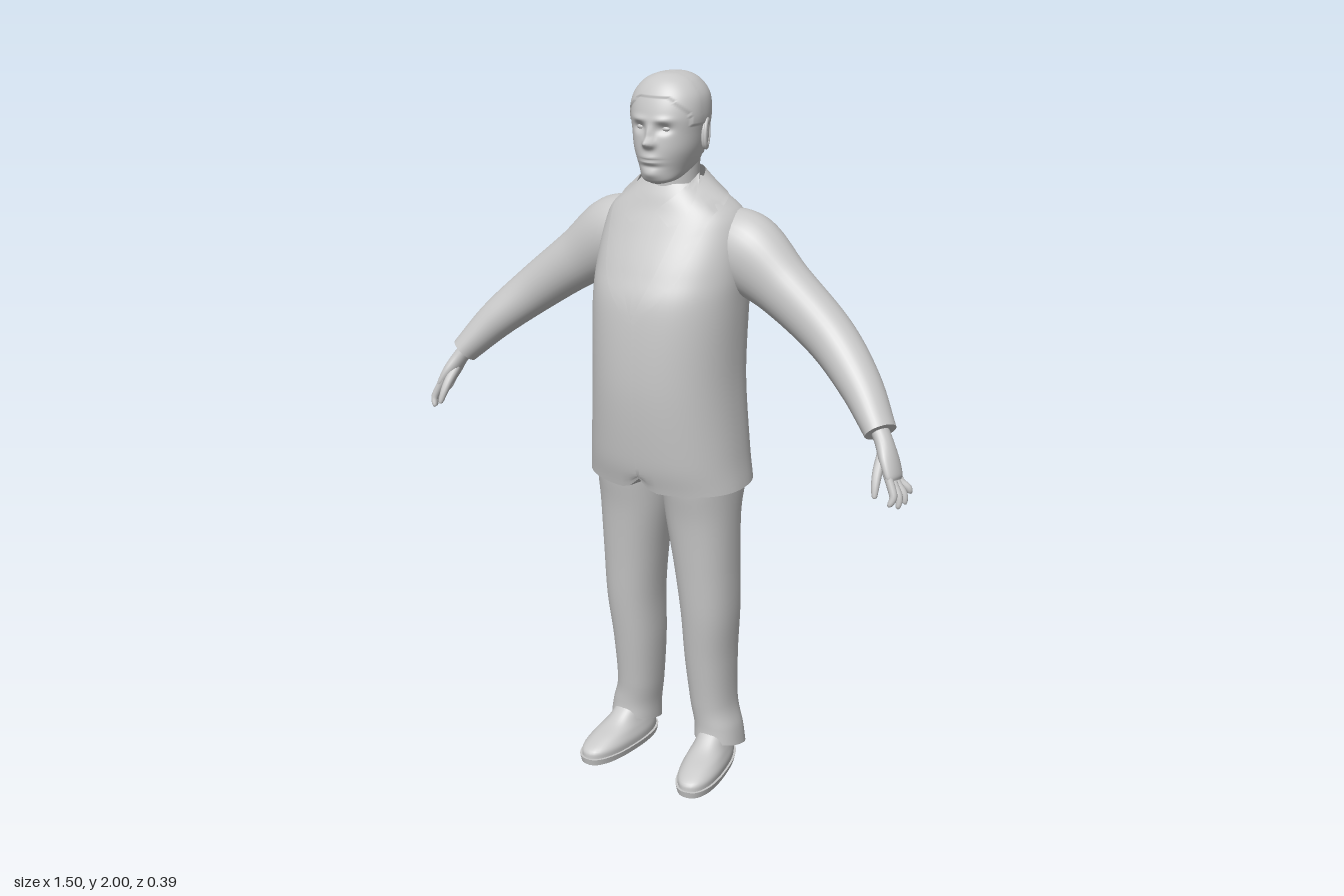
import * as THREE from 'three';

const V = (x, y, z) => new THREE.Vector3(x, y, z);
const grey = new THREE.MeshStandardMaterial({ color: 0xc8c8c8, side: THREE.DoubleSide });
grey.name = 'plainGrey';
const UP = V(0, 1, 0);

// Smooth tube through sections [x, y, z, sideRadius, frontRadius, backRadius], with closed ends.
// With an axis every section lies square to it, otherwise square to the path.
function loft(rows, { axis = null, steps = 40, sides = 32, power = 2, rule = null } = {}) {
  const curve = (f) => new THREE.CatmullRomCurve3(rows.map(f), false, 'catmullrom', 0.5);
  const path = curve((r) => V(r[0], r[1], r[2]));
  const radii = curve((r) => V(r[3], r[4], r[5] ?? r[4]));
  const pos = [], idx = [], centres = [];
  const sq = (n) => Math.sign(n) * Math.abs(n) ** (2 / power);
  for (let i = 0; i <= steps; i++) {
    const c = path.getPoint(i / steps), r = radii.getPoint(i / steps);
    const t = axis ?? path.getTangent(i / steps);
    const v = V(0, 0, 1).addScaledVector(t, -t.z).normalize();
    const u = t.clone().cross(v);
    centres.push(c);
    for (let j = 0; j < sides; j++) {
      const a = (j / sides) * Math.PI * 2, s = sq(Math.sin(a));
      const p = c.clone().addScaledVector(u, sq(Math.cos(a)) * r.x)
        .addScaledVector(v, s * (s > 0 ? r.y : r.z));
      if (rule) rule(p);
      pos.push(p.x, p.y, p.z);
    }
  }
  for (let i = 0; i < steps; i++) for (let j = 0; j < sides; j++) {
    const a = i * sides + j, b = i * sides + (j + 1) % sides;
    idx.push(a, a + sides, b, b, a + sides, b + sides);
  }
  for (const end of [0, steps]) {
    const base = pos.length / 3, from = end * sides * 3;
    pos.push(...pos.slice(from, from + sides * 3), ...centres[end].toArray());
    for (let j = 0; j < sides; j++) {
      const a = base + j, b = base + (j + 1) % sides;
      idx.push(base + sides, ...(end ? [b, a] : [a, b]));
    }
  }
  return grid(pos, idx);
}

function grid(pos, idx) {
  const g = new THREE.BufferGeometry();
  g.setAttribute('position', new THREE.Float32BufferAttribute(pos, 3));
  g.setIndex(idx);
  g.computeVertexNormals();
  return g;
}

// Cloth strip between two edges, laid over the front of a body mesh
function ribbon(inner, outer, body, lift, steps = 40, across = 6) {
  const A = new THREE.CatmullRomCurve3(inner.map((p) => V(...p)), false, 'catmullrom');
  const B = new THREE.CatmullRomCurve3(outer.map((p) => V(...p)), false, 'catmullrom');
  const ray = new THREE.Raycaster(), pos = [], idx = [];
  for (let i = 0; i <= steps; i++) for (let j = 0; j <= across; j++) {
    const p = A.getPoint(i / steps).lerp(B.getPoint(i / steps), j / across);
    if (p.z > 0) {
      ray.set(V(p.x, p.y, 1), V(0, 0, -1));
      const hit = ray.intersectObject(body)[0];
      if (hit) p.z = Math.max(p.z, hit.point.z + lift);
    }
    pos.push(p.x, p.y, p.z);
    if (i < steps && j < across) {
      const a = i * (across + 1) + j, b = a + across + 1;
      idx.push(a, b, a + 1, a + 1, b, b + 1);
    }
  }
  return grid(pos, idx);
}

function mirrored(g) {
  const m = g.clone().scale(-1, 1, 1), ix = m.index;
  for (let i = 0; i < ix.count; i += 3) {
    const a = ix.getX(i);
    ix.setX(i, ix.getX(i + 1));
    ix.setX(i + 1, a);
  }
  return m;
}

export function createModel() {
  const model = new THREE.Group();
  model.name = 'suitedMan';
  const add = (name, g) => {
    const m = new THREE.Mesh(g, grey);
    m.name = name;
    model.add(m);
    return m;
  };
  const pair = (name, g) => {
    add(name + 'Left', g);
    add(name + 'Right', mirrored(g));
  };
  const bump = (p, x, y, sx, sy, amount) =>
    amount * Math.exp(-(((Math.abs(p.x) - x) / sx) ** 2) - ((p.y - y) / sy) ** 2);

  // Jacket body, the hem cut away a little at the front
  const jacket = add('jacket', loft([
    [0, 0.9, -0.01, 0.234, 0.17, 0.18], [0, 1.0, -0.01, 0.222, 0.192, 0.175],
    [0, 1.2, -0.01, 0.208, 0.208, 0.165], [0, 1.4, -0.015, 0.21, 0.2, 0.17],
    [0, 1.5, -0.03, 0.212, 0.18, 0.153], [0, 1.6, -0.05, 0.205, 0.148, 0.117],
    [0, 1.65, -0.05, 0.182, 0.122, 0.098], [0, 1.69, -0.045, 0.128, 0.1, 0.085],
    [0, 1.72, -0.04, 0.088, 0.078, 0.065],
  ], {
    axis: UP, steps: 64, sides: 64, power: 2.25,
    rule: (p) => { if (p.z > 0 && p.y < 0.95) p.y += bump(p, 0, 0.9, 0.025, 0.03, 0.035); },
  }));

  // Collar and lapels, shirt collar, front closing edge
  pair('lapel', ribbon(
    [[0, 1.755, -0.09], [0.06, 1.752, -0.075], [0.09, 1.735, -0.02], [0.088, 1.69, 0.035],
      [0.075, 1.62, 0.06], [0.045, 1.5, 0.06], [0, 1.385, 0.06]],
    [[0, 1.69, -0.142], [0.085, 1.688, -0.127], [0.152, 1.685, -0.045], [0.148, 1.64, 0.02],
      [0.135, 1.58, 0.05], [0.1, 1.48, 0.06], [0.006, 1.375, 0.06]], jacket, 0.009));
  pair('shirtCollar', ribbon(
    [[0.078, 1.745, -0.02], [0.06, 1.705, 0.04], [0.006, 1.655, 0.06]],
    [[0.1, 1.69, 0.02], [0.09, 1.64, 0.04], [0.055, 1.62, 0.06]], jacket, 0.014, 16));
  add('jacketEdge', ribbon([[0.002, 1.385, 0.05], [0.002, 0.94, 0.05]],
    [[0.012, 1.385, 0.05], [0.012, 0.94, 0.05]], jacket, 0.004, 30, 2));
  add('shirtPlacket', ribbon([[-0.008, 1.645, 0.05], [-0.008, 1.4, 0.05]],
    [[0.008, 1.645, 0.05], [0.008, 1.4, 0.05]], jacket, 0.003, 16, 2));

  // Sleeves with a cuff
  pair('sleeve', loft([
    [0.1, 1.57, -0.065, 0.085, 0.085], [0.2, 1.54, -0.06, 0.108, 0.092],
    [0.32, 1.462, -0.05, 0.082, 0.073], [0.46, 1.358, -0.035, 0.068, 0.066],
    [0.57, 1.262, 0.012, 0.055, 0.058], [0.655, 1.166, 0.064, 0.039, 0.048],
  ], { steps: 48 }));

  // Hands
  pair('palm', loft([
    [0.642, 1.18, 0.055, 0.022, 0.027], [0.668, 1.145, 0.07, 0.022, 0.028],
    [0.69, 1.105, 0.083, 0.021, 0.038], [0.708, 1.07, 0.093, 0.016, 0.038],
    [0.714, 1.058, 0.096, 0.009, 0.032],
  ], { sides: 20, steps: 20 }));
  const tips = [[0.72, 1.003, 0.135], [0.734, 0.995, 0.115], [0.741, 1.0, 0.091], [0.742, 1.018, 0.063]];
  tips.forEach(([x, y, z], i) => {
    const kz = 0.121 - i * 0.018;
    pair('finger' + (i + 1), loft([
      [0.698, 1.085, kz - 0.004, 0.011, 0.01], [0.716, 1.05, kz + 0.002, 0.011, 0.01],
      [(0.722 + x) / 2 + 0.004, (1.05 + y) / 2, (kz + z) / 2, 0.01, 0.0095],
      [x, y + 0.004, z, 0.007, 0.007], [x, y, z, 0.002, 0.002],
    ], { sides: 12, steps: 16 }));
  });
  pair('thumb', loft([
    [0.672, 1.118, 0.085, 0.014, 0.014], [0.676, 1.085, 0.118, 0.013, 0.013],
    [0.68, 1.055, 0.138, 0.011, 0.011], [0.684, 1.028, 0.15, 0.007, 0.007],
    [0.685, 1.022, 0.152, 0.002, 0.002],
  ], { sides: 12, steps: 16 }));

  // Trouser legs, hems dropping toward the heel
  pair('trouserLeg', loft([
    [0.145, 0.065, -0.05, 0.07, 0.083, 0.083], [0.14, 0.12, -0.05, 0.067, 0.08, 0.077],
    [0.126, 0.2, -0.045, 0.063, 0.08, 0.08], [0.121, 0.35, -0.035, 0.07, 0.09, 0.088],
    [0.124, 0.5, -0.02, 0.078, 0.095, 0.1], [0.117, 0.65, -0.01, 0.087, 0.1, 0.108],
    [0.107, 0.8, -0.005, 0.099, 0.112, 0.115], [0.105, 0.9, -0.01, 0.104, 0.135, 0.148],
    [0.105, 0.96, -0.01, 0.104, 0.14, 0.15],
  ], {
    axis: UP, steps: 60, power: 2.2,
    rule: (p) => { p.y += 0.45 * (p.z + 0.05) * Math.max(0, 1 - p.y / 0.2); },
  }));

  // Shoes turned slightly outward
  const place = (g) => g.rotateY(0.14).translate(0.15, 0, 0.04);
  pair('sole', place(loft([
    [0, 0, 0, 0.06, 0.153, 0.153], [0, 0.02, 0, 0.065, 0.157, 0.155],
  ], { axis: UP, steps: 3, sides: 40, power: 2.4 })));
  pair('shoe', place(loft([
    [0, 0.018, 0, 0.059, 0.152, 0.15], [0, 0.04, 0, 0.06, 0.145, 0.148],
    [0, 0.062, -0.02, 0.053, 0.12, 0.125], [0, 0.085, -0.05, 0.045, 0.085, 0.09],
    [0, 0.12, -0.075, 0.04, 0.06, 0.06],
  ], { axis: UP, steps: 20, sides: 40, power: 2.3 })));

  // Neck
  add('neck', loft([[0, 1.64, -0.03, 0.075, 0.07], [0, 1.72, -0.025, 0.066, 0.068],
    [0, 1.83, -0.025, 0.07, 0.07]], { axis: UP, steps: 12 }));

  // Head: face modelled by soft bumps, hair by a small step outward
  const face = (p) => {
    const hairline = 1.945 - 0.9 * Math.max(0, Math.abs(p.x) - 0.045);
    if (p.z > 0.02) {
      p.z += bump(p, 0, 1.832, 0.013, 0.012, 0.022) + bump(p, 0, 1.855, 0.01, 0.022, 0.012)
        + bump(p, 0.012, 1.828, 0.007, 0.008, 0.006) - bump(p, 0.036, 1.868, 0.019, 0.012, 0.012)
        + bump(p, 0.034, 1.89, 0.024, 0.008, 0.005) + bump(p, 0, 1.789, 0.026, 0.014, 0.008)
        - bump(p, 0, 1.789, 0.027, 0.003, 0.006) - bump(p, 0, 1.772, 0.03, 0.006, 0.004)
        + bump(p, 0, 1.752, 0.025, 0.012, 0.006);
    }
    if ((p.z < 0.045 && p.y > 1.875) || (p.z < -0.045 && p.y > 1.79) || p.y > hairline) {
      p.x *= 1.03;
      p.z += p.z > 0 ? 0.003 : -0.003;
    }
  };
  add('head', loft([
    [0, 1.724, 0.05, 0.02, 0.025, 0.03], [0, 1.735, 0.045, 0.046, 0.046, 0.075],
    [0, 1.765, 0.0, 0.068, 0.098, 0.085], [0, 1.81, 0, 0.085, 0.102, 0.1],
    [0, 1.855, 0, 0.093, 0.099, 0.113], [0, 1.9, 0, 0.098, 0.097, 0.12],
    [0, 1.945, -0.004, 0.091, 0.086, 0.112], [0, 1.978, -0.008, 0.067, 0.066, 0.085],
    [0, 1.995, -0.012, 0.036, 0.04, 0.05], [0, 2.0, -0.012, 0.006, 0.006, 0.006],
  ], { axis: UP, steps: 110, sides: 96, power: 2.1, rule: face }));

  // Eyes and ears
  pair('eye', new THREE.SphereGeometry(0.011, 16, 12).scale(1.2, 0.65, 0.8).translate(0.036, 1.868, 0.077));
  pair('ear', new THREE.SphereGeometry(1, 20, 16).scale(0.009, 0.039, 0.021)
    .rotateX(-0.15).rotateY(0.25).translate(0.094, 1.846, -0.02));
  pair('earRim', new THREE.TorusGeometry(0.017, 0.005, 8, 24).scale(1, 1.9, 1).rotateY(Math.PI / 2)
    .rotateX(-0.15).rotateY(0.25).translate(0.099, 1.848, -0.021));
  return model;
}
